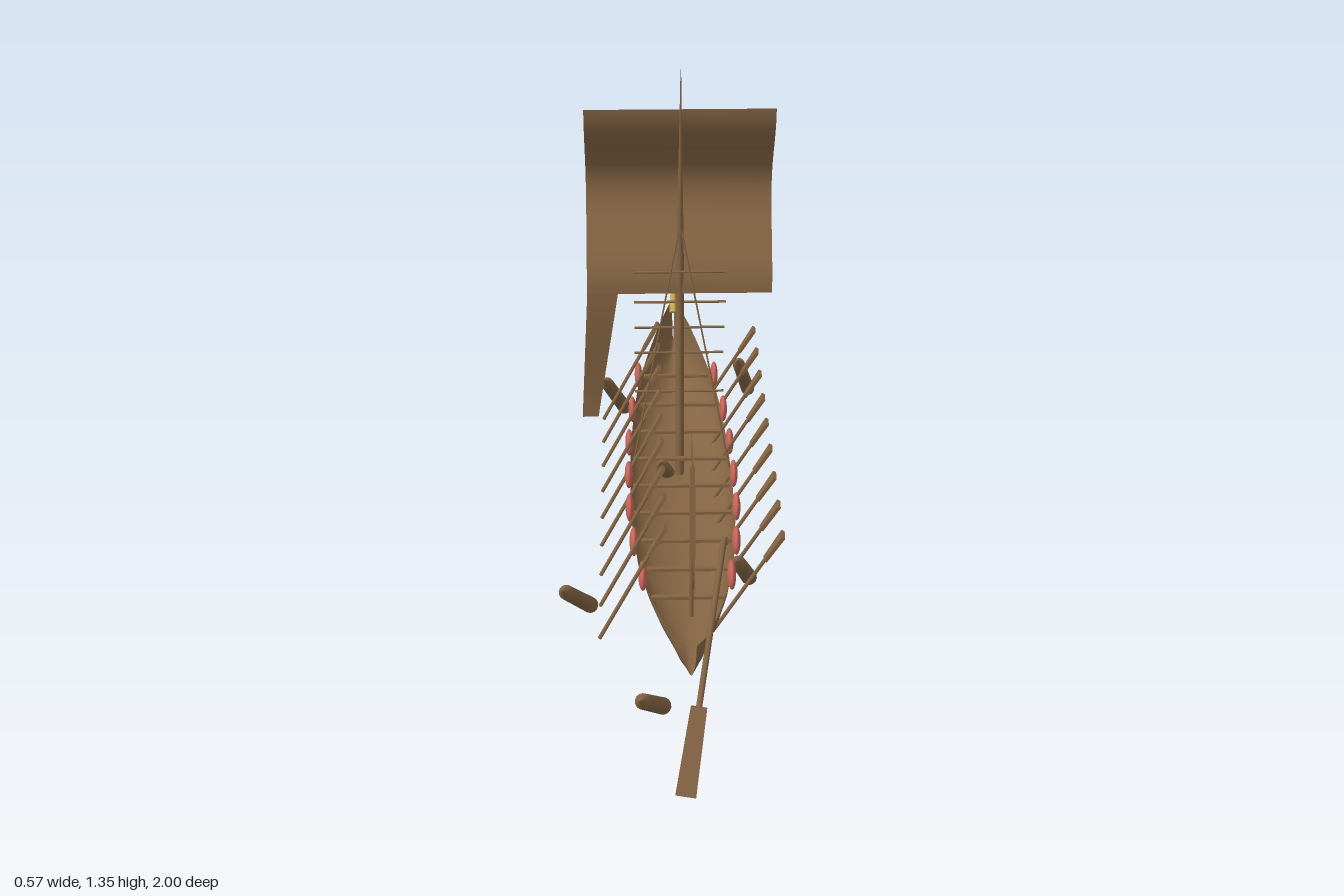
import * as THREE from 'three';

const CX = 0.022; // keel line
const wood = new THREE.MeshStandardMaterial({ color: 0x856544, side: THREE.DoubleSide });
wood.name = 'wood';
const red = new THREE.MeshStandardMaterial({ color: 0xc9655a });
red.name = 'shieldRed';
const gold = new THREE.MeshStandardMaterial({ color: 0xc8aa50 });
gold.name = 'gold';

// Hull stations: z, half width, sheer height, keel height
const STATIONS = [
  [0.81, 0.012, 0.31, 0.23], [0.77, 0.035, 0.305, 0.222], [0.66, 0.07, 0.295, 0.21],
  [0.55, 0.095, 0.285, 0.2], [0.4, 0.118, 0.27, 0.19], [0.2, 0.132, 0.26, 0.18],
  [0, 0.135, 0.255, 0.175], [-0.2, 0.133, 0.255, 0.175], [-0.4, 0.122, 0.265, 0.18],
  [-0.53, 0.108, 0.28, 0.19], [-0.66, 0.082, 0.3, 0.2], [-0.8, 0.045, 0.335, 0.215],
  [-0.92, 0.003, 0.365, 0.23],
];

function station(z) {
  let i = 0;
  while (i < STATIONS.length - 2 && z < STATIONS[i + 1][0]) i++;
  const a = STATIONS[i], b = STATIONS[i + 1];
  const t = (a[0] - z) / (a[0] - b[0]);
  return a.map((v, k) => v + (b[k] - v) * t);
}

// Skin a list of rings (arrays of points, equal length)
function loft(rings) {
  const n = rings[0].length, pos = [], idx = [];
  for (const r of rings) for (const p of r) pos.push(...p);
  for (let i = 0; i < rings.length - 1; i++) {
    for (let j = 0; j < n - 1; j++) {
      const a = i * n + j, b = a + n;
      idx.push(a, a + 1, b, a + 1, b + 1, b);
    }
  }
  const g = new THREE.BufferGeometry();
  g.setAttribute('position', new THREE.Float32BufferAttribute(pos, 3));
  g.setIndex(idx);
  g.computeVertexNormals();
  return g;
}

function add(parent, name, geo, mat, x = 0, y = 0, z = 0) {
  const m = new THREE.Mesh(geo, mat);
  m.name = name;
  m.position.set(x, y, z);
  parent.add(m);
  return m;
}

// Group whose local +y runs from a to b, with its origin at a
function along(parent, name, a, b) {
  const g = new THREE.Group();
  const d = new THREE.Vector3(...b).sub(new THREE.Vector3(...a));
  g.name = name;
  g.position.set(...a);
  g.userData.length = d.length();
  g.quaternion.setFromUnitVectors(new THREE.Vector3(0, 1, 0), d.normalize());
  parent.add(g);
  return g;
}

function rod(parent, name, a, b, r0, r1 = r0, mat = wood, sides = 8) {
  const g = along(parent, name, a, b), len = g.userData.length;
  add(g, name, new THREE.CylinderGeometry(r1, r0, len, sides), mat, 0, len / 2, 0);
  return g;
}

// Flat blade whose width changes from bottom to top
function blade(bottom, top, len, thick, acrossX) {
  const g = acrossX ? new THREE.BoxGeometry(1, len, thick) : new THREE.BoxGeometry(thick, len, 1);
  const p = g.attributes.position;
  for (let i = 0; i < p.count; i++) {
    const w = p.getY(i) > 0 ? top : bottom;
    if (acrossX) p.setX(i, p.getX(i) * w);
    else p.setZ(i, p.getZ(i) * w);
  }
  return g;
}

// Billow of the sail: depth at a given height
function sailDepth(y) {
  const knots = [[1.24, -0.157], [1.0, -0.26], [0.74, -0.158], [0.35, -0.19]];
  let i = 0;
  while (i < 2 && y < knots[i + 1][0]) i++;
  const [y0, z0] = knots[i], [y1, z1] = knots[i + 1];
  const t = THREE.MathUtils.clamp((y0 - y) / (y0 - y1), 0, 1);
  return z0 + (z1 - z0) * (1 - Math.cos(Math.PI * t)) / 2;
}

// Cloth between two heights with straight left and right edges
function cloth(yTop, yBottom, leftTop, rightTop, leftBottom, rightBottom) {
  const rows = [];
  for (let i = 0; i <= 28; i++) {
    const t = i / 28, y = yTop + (yBottom - yTop) * t, z = sailDepth(y);
    rows.push([
      [rightTop + (rightBottom - rightTop) * t, y, z],
      [leftTop + (leftBottom - leftTop) * t, y, z],
    ].reverse());
  }
  // reversed row order makes the front side face +z
  return loft(rows.map((r) => r.slice().reverse()));
}

export function createModel() {
  const ship = new THREE.Group();
  ship.name = 'ship';

  // Open hull with half-elliptical sections
  add(ship, 'hull', loft(STATIONS.map(([z, w, top, keel]) => {
    const ring = [];
    for (let j = 0; j <= 16; j++) {
      const a = Math.PI * (j / 16 - 0.5);
      ring.push([CX - w * Math.sin(a), top - (top - keel) * Math.cos(a), z]);
    }
    return ring;
  })), wood);

  // Benches and paired oars
  for (let i = 0; i < 9; i++) {
    const zb = 0.567 - 0.1425 * i, [, w, top] = station(zb);
    add(ship, 'bench', new THREE.BoxGeometry(w * 1.9, 0.008, 0.012), wood, CX, top - 0.008, zb);

    const z = 0.527 - 0.1375 * i;
    for (const s of [-1, 1]) {
      const x = s < 0 ? -0.19 : 0.085;
      const oar = rod(ship, 'oar', [x, 0.145, z - s * 0.013], [x + 0.16, 0.437, z + s * 0.021], 0.005);
      add(oar, 'oarBlade', blade(0.018, 0.03, 0.085, 0.009, false), wood, 0, oar.userData.length - 0.042, 0);
    }
  }

  // Round shields along both sides
  for (let i = 0; i < 7; i++) {
    const z = 0.5 - 0.174 * i, [, w, top] = station(z);
    for (const s of [-1, 1]) {
      const shield = add(ship, 'shield', new THREE.SphereGeometry(0.036, 20, 12), red,
        CX + s * (w + 0.004), top + 0.016, z);
      shield.scale.x = 0.3;
    }
  }

  // Mast, tapering and leaning forward at the top
  const mast = [[0.19, -0.17, 0.012, 0.018], [0.75, -0.173, 0.011, 0.017], [0.95, -0.167, 0.008, 0.014],
    [1.15, -0.152, 0.004, 0.009], [1.35, -0.135, 0.0008, 0.001]];
  add(ship, 'mast', loft(mast.map(([y, z, rx, rz]) => {
    const ring = [];
    for (let j = 0; j <= 12; j++) {
      const a = -j / 12 * Math.PI * 2;
      ring.push([CX + rx * Math.cos(a), y, z + rz * Math.sin(a)]);
    }
    return ring;
  })), wood);

  // Sail with a long tail at one corner
  add(ship, 'sail', cloth(1.24, 0.735, -0.22, 0.262, -0.22, 0.262), wood);
  add(ship, 'sailTail', cloth(0.735, 0.355, -0.22, -0.14, -0.24, -0.197), wood);

  // Rungs behind and before the mast
  for (const [y, z] of [[0.8, -0.15], [0.705, -0.17], [0.607, -0.22], [0.512, -0.26], [0.415, -0.22]]) {
    rod(ship, 'rung', [-0.098, y, z], [0.142, y, z], 0.0035);
  }

  // Stays
  for (const s of [-1, 1]) {
    rod(ship, 'stay', [CX, 0.93, -0.16], [CX + s * 0.13, 0.27, -0.045], 0.0022, 0.0022, wood, 6);
  }

  // Bow horn
  rod(ship, 'bowHorn', [CX, 0.335, -0.885], [CX, 0.468, -0.982], 0.013, 0.001, gold, 10);

  // Banner on a pole at the stern
  rod(ship, 'bannerPole', [CX, 0.38, 0.792], [CX, 0.765, 0.792], 0.005);
  const banner = add(ship, 'banner', new THREE.PlaneGeometry(0.262, 0.265), wood, CX, 0.6925, 0.869);
  banner.rotation.y = Math.PI / 2;

  // Steering oar
  const steer = rod(ship, 'steeringOar', [0.005, 0.025, 0.98], [0.1, 0.515, 0.678], 0.007);
  add(steer, 'steeringBlade', blade(0.046, 0.036, 0.2, 0.014, true), wood, 0, 0.1, 0);

  // Loose sharpened logs around the ship: x and z of the blunt end
  for (const [x, z] of [[-0.04, 0.64], [-0.22, 0.21], [0.2, 0.09], [0.022, -0.39], [-0.13, -0.87], [0.26, -0.985]]) {
    const log = along(ship, 'log', [x, 0.017, z], [x - 0.055, 0.29, z + 0.34]);
    const len = log.userData.length, body = len - 0.05;
    add(log, 'logBody', new THREE.CylinderGeometry(0.018, 0.021, body, 14), wood, 0, body / 2, 0);
    add(log, 'logPoint', new THREE.ConeGeometry(0.018, 0.05, 14), wood, 0, body + 0.025, 0);
  }

  return ship;
}
